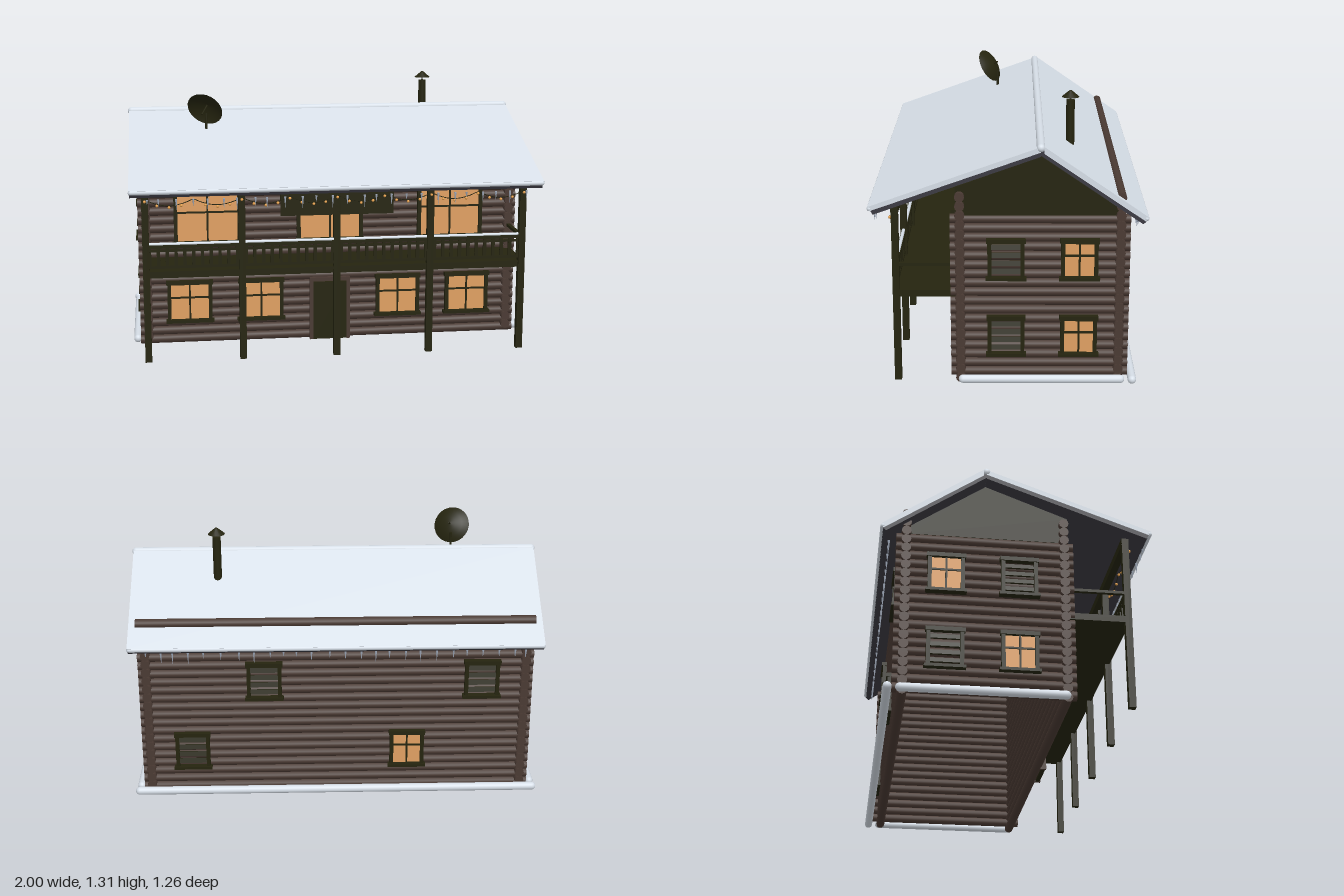
import * as THREE from 'three';

const mat = (name, color, side = THREE.FrontSide) => {
  const m = new THREE.MeshStandardMaterial({ color, side });
  m.name = name;
  return m;
};

export function createModel() {
  const M = {
    log: mat('log brown', 0x4a3a33),
    trim: mat('dark timber', 0x25240f, THREE.DoubleSide),
    snow: mat('snow', 0xd8e0e9),
    board: mat('roof board', 0x3b3a42),
    glass: mat('lit glass', 0xe0a062),
    ice: mat('ice', 0xa3adbd),
    bulb: mat('bulb amber', 0xf0a850),
  };
  const house = new THREE.Group();
  house.name = 'logHouse';

  // ---- helpers ----
  const group = (name, parent = house) => {
    const g = new THREE.Group();
    g.name = name;
    parent.add(g);
    return g;
  };
  const add = (parent, name, geo, m, x = 0, y = 0, z = 0) => {
    const mesh = new THREE.Mesh(geo, m);
    mesh.name = name;
    mesh.position.set(x, y, z);
    parent.add(mesh);
    return mesh;
  };
  const box = (parent, name, m, w, h, d, x, y, z) =>
    add(parent, name, new THREE.BoxGeometry(w, h, d), m, x, y, z);
  // prism with a (z, y) outline, running along x
  const prism = (parent, name, m, pts, width, x = 0) => {
    const shape = new THREE.Shape(pts.map(p => new THREE.Vector2(p[0], p[1])));
    const geo = new THREE.ExtrudeGeometry(shape, { depth: width, bevelEnabled: false });
    geo.rotateY(-Math.PI / 2).translate(width / 2, 0, 0);
    return add(parent, name, geo, m, x);
  };
  let seed = 7;
  const rand = () => (seed = (seed * 16807) % 2147483647) / 2147483647;

  // ---- log walls, crossing at the corners ----
  const R = 0.0225, PITCH = 0.044, FRONT = 0.22, BACK = -0.51, SIDE = 0.92;
  const walls = group('logWalls');
  const longLog = new THREE.CylinderGeometry(R, R, 1.92, 12).rotateZ(Math.PI / 2);
  const sideLog = new THREE.CylinderGeometry(R, R, 0.82, 12).rotateX(Math.PI / 2);
  for (let i = 0; i < 21; i++)
    for (const z of [FRONT, BACK]) add(walls, 'longLog', longLog, M.log, 0, 0.022 + i * PITCH, z);
  for (let i = 0; i < 18; i++)
    for (const s of [-1, 1]) add(walls, 'sideLog', sideLog, M.log, s * SIDE, 0.044 + i * PITCH, -0.145);

  // ---- gables ----
  for (const s of [-1, 1])
    prism(house, 'gable', M.trim,
      [[-0.5, 0.81], [0.24, 0.81], [0.24, 0.941], [-0.145, 1.088], [-0.513, 0.838]], 0.03, s * SIDE);

  // ---- roof: boards with a snow layer on each slope ----
  const roof = group('roof');
  prism(roof, 'frontBoards', M.board, [[0.605, 0.831], [0.615, 0.85], [-0.145, 1.122], [-0.145, 1.1]], 1.98);
  prism(roof, 'backBoards', M.board, [[-0.145, 1.105], [-0.145, 1.13], [-0.62, 0.802], [-0.605, 0.788]], 1.98);
  prism(roof, 'frontSnow', M.snow, [[0.62, 0.848], [0.628, 0.868], [-0.145, 1.145], [-0.145, 1.12]], 1.985);
  prism(roof, 'backSnow', M.snow, [[-0.16, 1.114], [-0.16, 1.146], [-0.628, 0.822], [-0.618, 0.8]], 1.985);
  const bar = (parent, name, r, len, axis, x, y, z) => {
    const geo = new THREE.CapsuleGeometry(r, len - 2 * r, 5, 14);
    if (axis === 'x') geo.rotateZ(Math.PI / 2); else geo.rotateX(Math.PI / 2);
    return add(parent, name, geo, M.snow, x, y, z);
  };
  bar(roof, 'ridgeSnow', 0.019, 2, 'x', 0, 1.138, -0.145);
  bar(roof, 'frontEaveSnow', 0.012, 1.99, 'x', 0, 0.858, 0.62);
  bar(roof, 'backEaveSnow', 0.012, 1.99, 'x', 0, 0.813, -0.62);

  // ---- snow banks at the base ----
  for (const s of [-1, 1]) bar(house, 'sideSnowBank', 0.02, 0.77, 'z', s * 0.975, 0.024, -0.155);
  bar(house, 'backSnowBank', 0.02, 2, 'x', 0, 0.024, -0.575);

  // ---- windows and shutters, built facing +z ----
  const frameBars = (g, w, h) => {
    for (const s of [-1, 1]) box(g, 'jamb', M.trim, 0.018, h + 0.03, 0.024, s * (w / 2 + 0.008), 0, 0.008);
    box(g, 'lintel', M.trim, w + 0.044, 0.02, 0.03, 0, h / 2 + 0.01, 0.01);
    box(g, 'sill', M.trim, w + 0.052, 0.014, 0.036, 0, -h / 2 - 0.01, 0.012);
  };
  const litWindow = (w, h) => {
    const g = new THREE.Group();
    g.name = 'litWindow';
    box(g, 'pane', M.glass, w, h, 0.008, 0, 0, 0.004);
    box(g, 'mullion', M.trim, 0.009, h, 0.012, 0, 0, 0.007);
    box(g, 'transom', M.trim, w, 0.009, 0.012, 0, h * 0.12, 0.007);
    frameBars(g, w, h);
    return g;
  };
  const shutter = (w, h) => {
    const g = new THREE.Group();
    g.name = 'louvredShutter';
    for (let i = 0; i < 4; i++) {
      const slat = box(g, 'slat', M.trim, w, 0.024, 0.008, 0, h * (-0.36 + 0.24 * i), 0.006);
      slat.rotation.x = -0.3;
    }
    frameBars(g, w, h);
    return g;
  };
  const place = (g, x, y, z, turn) => {
    g.position.set(x, y, z);
    g.rotation.y = turn;
    house.add(g);
  };
  const zf = FRONT + R, zb = BACK - R, xs = SIDE + R;
  for (const x of [-0.71, -0.35, 0.35, 0.71]) place(litWindow(0.19, 0.18), x, 0.22, zf, 0);
  for (const x of [-0.615, 0, 0.615]) place(litWindow(0.3, 0.235), x, 0.65, zf, 0);
  for (const [x, y, lit] of [[0.35, 0.605, 0], [-0.71, 0.605, 0], [0.71, 0.23, 0], [-0.35, 0.23, 1]])
    place((lit ? litWindow : shutter)(0.135, 0.16), x, y, zb, Math.PI);
  for (const [s, z, y, lit] of [
    [1, 0.01, 0.605, 0], [1, -0.325, 0.605, 1], [1, 0.01, 0.23, 0], [1, -0.325, 0.23, 1],
    [-1, 0.01, 0.605, 0], [-1, -0.325, 0.605, 1], [-1, 0.01, 0.23, 1], [-1, -0.325, 0.23, 0]])
    place((lit ? litWindow : shutter)(0.135, 0.16), s * xs, y, z, s * Math.PI / 2);

  // ---- front door ----
  const door = group('door');
  box(door, 'doorLeaf', M.trim, 0.17, 0.3, 0.02, 0, 0.15, zf + 0.006);
  for (const s of [-1, 1]) box(door, 'doorJamb', M.log, 0.018, 0.31, 0.03, s * 0.094, 0.155, zf + 0.005);
  box(door, 'doorHead', M.log, 0.206, 0.02, 0.03, 0, 0.315, zf + 0.005);

  // ---- balcony ----
  const balcony = group('balcony');
  box(balcony, 'deck', M.trim, 1.87, 0.032, 0.29, 0, 0.434, 0.375);
  for (let i = -2; i <= 2; i++) box(balcony, 'post', M.trim, 0.032, 0.855, 0.032, i * 0.46, 0.4275, 0.514);
  box(balcony, 'eaveBeam', M.trim, 1.87, 0.036, 0.034, 0, 0.838, 0.514);
  box(balcony, 'topRail', M.trim, 1.84, 0.016, 0.022, 0, 0.573, 0.514);
  box(balcony, 'bottomRail', M.trim, 1.84, 0.014, 0.014, 0, 0.472, 0.514);
  box(balcony, 'middleRail', M.trim, 1.84, 0.01, 0.012, 0, 0.552, 0.514);
  for (let i = 0; i < 44; i++)
    box(balcony, 'baluster', M.trim, 0.016, 0.1, 0.01, -0.903 + i * 0.042, 0.522, 0.514);
  for (const s of [-1, 1]) box(balcony, 'sideRail', M.trim, 0.018, 0.014, 0.28, s * 0.92, 0.573, 0.38);
  bar(balcony, 'railSnow', 0.008, 1.82, 'x', 0, 0.584, 0.514);
  box(balcony, 'signBoard', M.trim, 0.55, 0.105, 0.012, 0, 0.762, 0.524);

  // ---- string of lights ----
  const lights = group('stringLights');
  const sag = x => 0.805 - 0.03 * Math.abs(Math.sin(x * Math.PI / 0.23));
  const pts = [];
  for (let i = 0; i <= 64; i++) pts.push(new THREE.Vector3(-0.92 + i * 0.02875, sag(-0.92 + i * 0.02875), 0.535));
  add(lights, 'wire', new THREE.TubeGeometry(new THREE.CatmullRomCurve3(pts), 128, 0.002, 4), M.trim);
  const bulbGeo = new THREE.SphereGeometry(0.007, 8, 6);
  for (let i = 0; i < 33; i++) {
    const x = -0.92 + i * 0.0575;
    add(lights, 'bulb', bulbGeo, M.bulb, x, sag(x) - 0.008, 0.536);
  }

  // ---- icicles under both eaves ----
  const icicles = group('icicles');
  for (const [z, top] of [[0.604, 0.832], [-0.588, 0.795]])
    for (let i = 0; i < 26; i++) {
      const h = 0.025 + 0.04 * rand();
      const geo = new THREE.ConeGeometry(0.006, h, 6).rotateX(Math.PI);
      add(icicles, 'icicle', geo, M.ice, -0.92 + i * 0.0735 + 0.03 * (rand() - 0.5), top - 0.012 - h / 2, z);
    }

  // ---- chimney ----
  const chimney = group('chimney');
  chimney.position.set(0.572, 0, -0.29);
  add(chimney, 'flue', new THREE.CylinderGeometry(0.02, 0.02, 0.27, 16), M.trim, 0, 1.125, 0);
  add(chimney, 'capPin', new THREE.CylinderGeometry(0.003, 0.003, 0.03, 6), M.trim, 0, 1.265, 0);
  add(chimney, 'cap', new THREE.CylinderGeometry(0.006, 0.041, 0.03, 16), M.trim, 0, 1.29, 0);

  // ---- satellite dish ----
  const dish = group('satelliteDish');
  add(dish, 'mast', new THREE.CylinderGeometry(0.006, 0.006, 0.1, 8), M.trim, -0.605, 1.1, 0.065);
  const head = group('dishHead', dish);
  head.position.set(-0.61, 1.178, 0.105);
  head.quaternion.setFromUnitVectors(new THREE.Vector3(0, 1, 0), new THREE.Vector3(-0.38, -0.49, 0.79).normalize());
  const profile = [0, 0.03, 0.06, 0.08, 0.092].map(r => new THREE.Vector2(r, 3.8 * r * r - 0.026));
  add(head, 'bowl', new THREE.LatheGeometry(profile, 24), M.trim);
  add(head, 'feedArm', new THREE.CylinderGeometry(0.004, 0.004, 0.1, 6), M.trim);

  return house;
}
